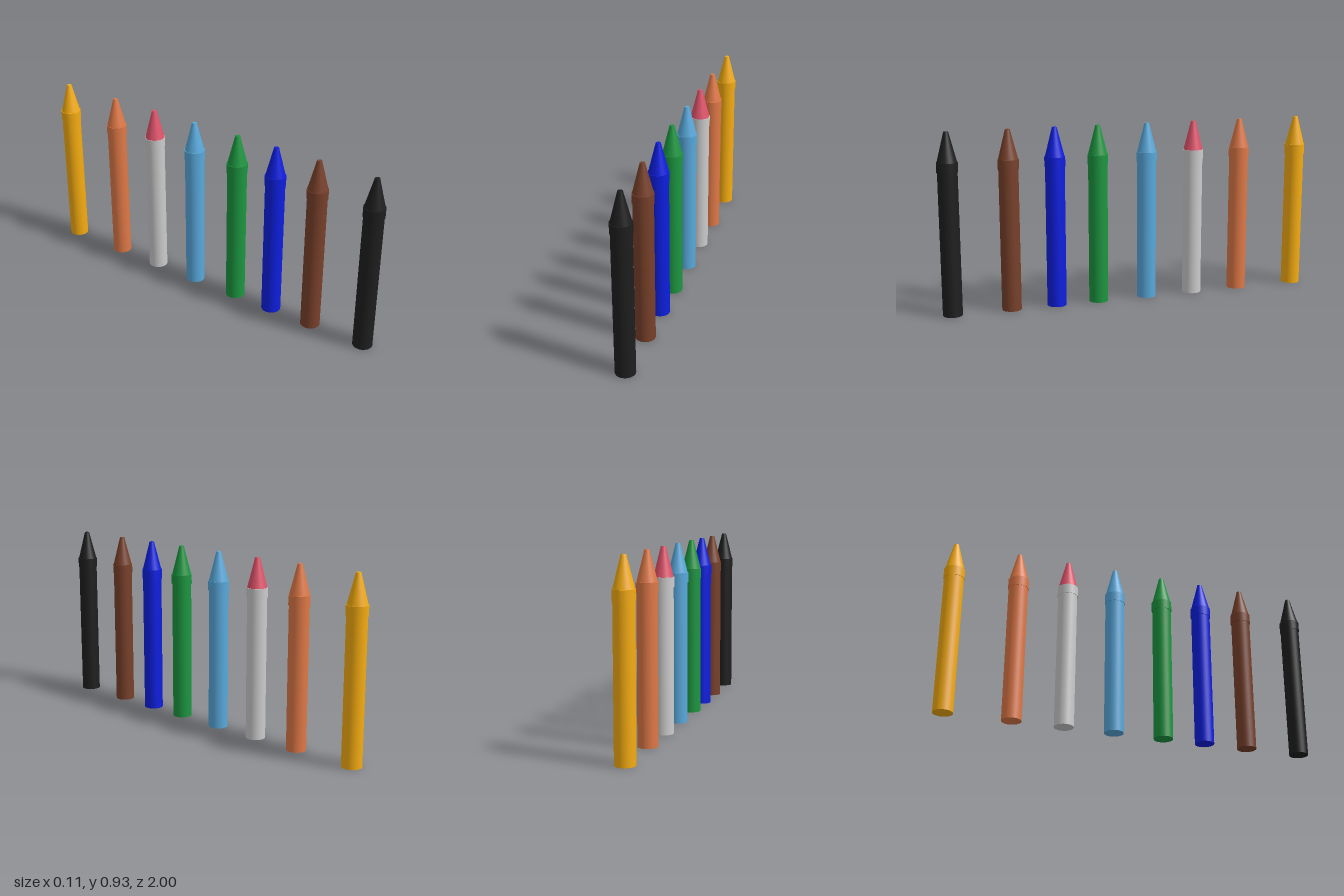
import * as THREE from 'three';

const SIDES = 32;

// One crayon: paper-wrapped body, slightly wider collar, blunt conical tip
function makeCrayon(name, tipColor, bodyColor = tipColor) {
  const crayon = new THREE.Group();
  crayon.name = name;
  const bodyMaterial = new THREE.MeshStandardMaterial({ color: bodyColor });
  const tipMaterial = new THREE.MeshStandardMaterial({ color: tipColor });

  const addSection = (part, topRadius, bottomRadius, y0, y1, material) => {
    const geometry = new THREE.CylinderGeometry(topRadius, bottomRadius, y1 - y0, SIDES);
    const mesh = new THREE.Mesh(geometry, material);
    mesh.name = part;
    mesh.position.y = (y0 + y1) / 2;
    crayon.add(mesh);
  };

  addSection('body', 0.05, 0.05, 0, 0.74, bodyMaterial);
  addSection('collar', 0.053, 0.053, 0.73, 0.78, bodyMaterial);
  addSection('tip', 0.012, 0.05, 0.78, 0.93, tipMaterial);
  return crayon;
}

export function createModel() {
  const model = new THREE.Group();
  model.name = 'crayonRow';

  // Name, z position, tip colour, optional body colour
  const crayons = [
    ['blackCrayon', 0.947, 0x1e1e1e],
    ['brownCrayon', 0.644, 0x78402a],
    ['blueCrayon', 0.405, 0x0d1ee0],
    ['greenCrayon', 0.178, 0x1b9640],
    ['lightBlueCrayon', -0.088, 0x58a9dc],
    ['pinkCrayon', -0.348, 0xe0526a, 0xcccccc],
    ['orangeCrayon', -0.613, 0xdf7846],
    ['yellowCrayon', -0.947, 0xf5ac10],
  ];
  for (const [name, z, tipColor, bodyColor] of crayons) {
    const crayon = makeCrayon(name, tipColor, bodyColor);
    crayon.position.z = z;
    model.add(crayon);
  }
  return model;
}
